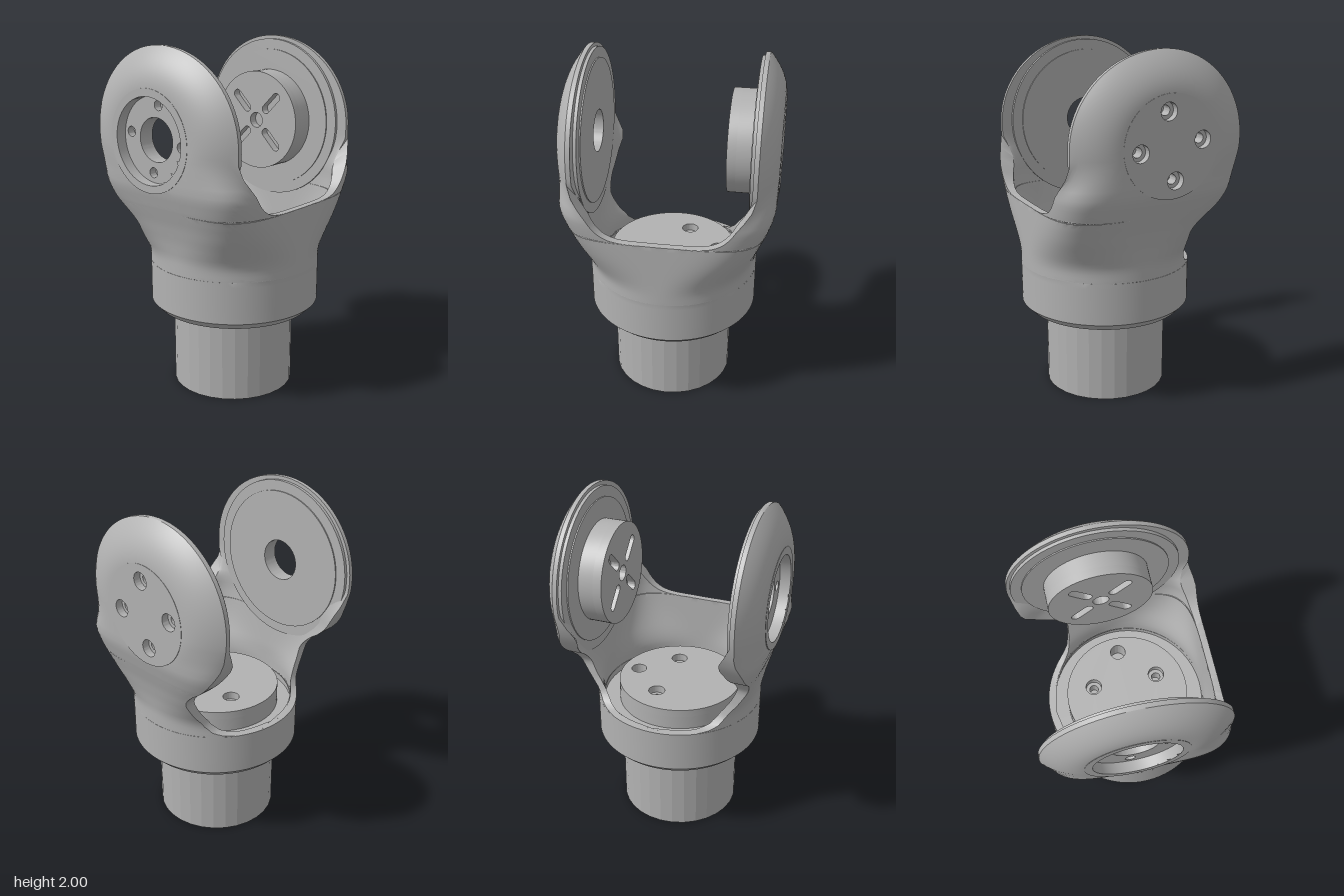
import * as THREE from 'three';
import { toCreasedNormals } from 'three/addons/utils/BufferGeometryUtils.js';

const CY = 1.51, CZ = -0.045, R = 0.49; // pivot centre and arm disc radius
const ZC = 0.045;                       // collar axis
const BOLTS = [[0.02, 0.185], [0.18, -0.02], [-0.185, 0.025], [-0.025, -0.18]];
const { lerp, smoothstep } = THREE.MathUtils;

// piecewise linear lookup
function table(pts, y) {
  if (y <= pts[0][0]) return pts[0][1];
  for (let i = 1; i < pts.length; i++) {
    const [a, b] = [pts[i - 1], pts[i]];
    if (y <= b[0]) return lerp(a[1], b[1], (y - a[0]) / (b[0] - a[0]));
  }
  return pts[pts.length - 1][1];
}

const BACK = [[0.76, -0.45], [0.761, -0.38], [0.77, -0.33], [0.79, -0.29], [0.83, -0.26], [0.9, -0.24],
  [1.0, -0.232], [1.04, -0.25], [1.1, -0.31], [1.13, -0.355], [1.17, -0.398]];
const arc = y => Math.sqrt(Math.max(0, 1 - ((y - CY) / R) ** 2));
const backZ = y => (y < 1.17 ? table(BACK, y) : CZ - R * arc(y));
const frontZ = y => (y < CY ? 0.485 : CZ + 0.53 * arc(y));
const openX = y => (y <= 1.135 ? 0 : 0.46 * Math.min(1, (y - 1.135) / 0.3) ** (1 / 6));

const OUT_A = [[0.48, 0.45], [0.52, 0.4875], [0.85, 0.4875], [0.95, 0.505], [1.05, 0.53], [1.15, 0.563], [1.25, 0.592], [1.4, 0.595]];
const OUT_F = [[0.48, 0.45], [0.52, 0.49], [1.14, 0.49], [1.4, 0.51]];
const OUT_B = [[0.48, 0.45], [0.52, 0.4875], [0.85, 0.4875], [1.05, 0.52], [1.2, 0.57], [1.5, 0.64]];
const IN_A = [[0.48, 0.45], [0.9, 0.45], [1.2, 0.472]];
const IN_B = [[0.48, 0.45], [0.85, 0.45], [1.05, 0.5], [1.2, 0.56], [1.5, 0.64]];

// smallest angle in [lo, hi] at which the rising function f passes 0
function solve(f, lo, hi) {
  for (let i = 0; i < 40; i++) {
    const m = (lo + hi) / 2;
    if (f(m) < 0) lo = m; else hi = m;
  }
  return (lo + hi) / 2;
}

// one side of the wall at height y: n+1 points [x, z] from front edge to back edge
function wallLine(y, n, outer) {
  const a = table(outer ? OUT_A : IN_A, y);
  const bf = outer ? table(OUT_F, y) : 0.45, bb = table(outer ? OUT_B : IN_B, y);
  const e = lerp(2, 5, smoothstep(y, 0.8, 1.25));
  const at = p => {
    const s = Math.sin(p), c = Math.cos(p);
    const r = ((Math.abs(s) / a) ** e + (Math.abs(c) / (c > 0 ? bf : bb)) ** e) ** (-1 / e);
    return [r * s, ZC + r * c];
  };
  const ox = Math.min(openX(y), 0.95 * a), zb = backZ(y), zf = frontZ(y);
  const p0 = ox > 0 ? solve(p => at(p)[0] - ox, 0, 1.4) : 0;
  const p1 = y < 0.76 ? Math.PI : solve(p => zb - at(p)[1], 1.4, Math.PI);
  const w = smoothstep(y, 1.25, 1.45);
  return Array.from({ length: n + 1 }, (_, i) => {
    const low = at(lerp(p0, p1, i / n)), z = lerp(zf, zb, i / n);
    const q = Math.min(1, Math.hypot((z - CZ) / (z > CZ ? 0.53 : R), (y - CY) / R));
    const x = outer ? 0.595 - 0.1 * Math.max(0, (q - 0.55) / 0.45) ** 2 : 0.47;
    return [lerp(low[0], x, w), lerp(low[1], z, w)];
  });
}

// collar, front wall and both arms as one shell
function yokeGeometry() {
  const n = 56, ys = [0.48, 0.52, 0.6, 0.68, 0.73, 0.76, 0.7603, 0.7606, 0.761, 0.763, 0.766, 0.77, 0.78, 0.79, 0.81];
  for (let y = 0.83; y < 1.12; y += 0.025) ys.push(y);
  ys.push(1.134);
  for (let i = 5; i <= 23; i++) ys.push(1.135 + 0.3 * (i / 23) ** 6);
  for (let i = 1; i <= 28; i++) ys.push(CY + R * Math.sin(lerp(-0.1537, Math.PI / 2, i / 28)));
  const loops = ys.map(y => [...wallLine(y, n, true), ...wallLine(y, n, false).reverse()]
    .map(([x, z]) => [x, y, z]));
  const pos = [], m = 2 * n + 2;
  for (const s of [1, -1]) {
    const tri = (a, b, c) => (s > 0 ? [a, b, c] : [a, c, b]).forEach(p => pos.push(s * p[0], p[1], p[2]));
    for (let i = 0; i + 1 < loops.length; i++) for (let j = 0; j < m; j++) {
      const k = (j + 1) % m, a = loops[i][j], b = loops[i][k], c = loops[i + 1][k], d = loops[i + 1][j];
      if (k === 0 && ys[i + 1] < 1.135) continue; // wall is continuous at the front
      const my = (a[1] + c[1]) / 2, mz = (a[2] + b[2] + c[2] + d[2]) / 4;
      if (Math.hypot(my - CY, mz - CZ) < 0.25) continue; // opening for the pivot plates
      tri(a, b, c);
      tri(a, c, d);
    }
  }
  const g = new THREE.BufferGeometry();
  g.setAttribute('position', new THREE.Float32BufferAttribute(pos, 3));
  return toCreasedNormals(g, 0.6);
}

function disc(r, holes) {
  const shape = new THREE.Shape().absarc(0, 0, r, 0, Math.PI * 2);
  shape.holes = holes.map(h => (h instanceof THREE.Path ? h : new THREE.Path().absarc(h[0], h[1], h[2], 0, Math.PI * 2, true)));
  return shape;
}
const extrude = (shape, depth) => toCreasedNormals(
  new THREE.ExtrudeGeometry(shape, { depth, bevelEnabled: false, curveSegments: 36 }), 0.5);

// rounded slot running outwards along angle t
function slot(t, r0, r1, w) {
  const c = Math.cos(t), s = Math.sin(t);
  const p = new THREE.Path();
  p.absarc(r1 * c, r1 * s, w, t - Math.PI / 2, t + Math.PI / 2, false);
  p.absarc(r0 * c, r0 * s, w, t + Math.PI / 2, t + Math.PI * 1.5, false);
  p.closePath();
  return p;
}

export function createModel() {
  const group = new THREE.Group();
  const grey = new THREE.MeshStandardMaterial({ color: 0xb2b2b2, side: THREE.DoubleSide });
  grey.name = 'grey';
  const add = (name, geometry) => {
    const mesh = new THREE.Mesh(geometry, grey);
    mesh.name = name;
    group.add(mesh);
    return mesh;
  };
  // disc across the pivot axis, from |x| = x0 to x1 on one side
  const pivot = (name, side, r, holes, x0, x1) => {
    const g = extrude(disc(r, holes), x1 - x0);
    g.rotateY(Math.PI / 2).translate(side > 0 ? x0 : -x1, CY, CZ);
    add(name, g);
  };
  // disc lying flat, from y0 to y1
  const flat = (name, r, holes, y0, y1) => {
    const g = extrude(disc(r, holes), y1 - y0);
    g.rotateX(-Math.PI / 2).translate(-0.005, y0, 0.035);
    add(name, g);
  };

  add('yoke', yokeGeometry());
  const floor = add('collarFloor', new THREE.CylinderGeometry(0.452, 0.449, 0.239, 64));
  floor.position.set(0, 0.6005, ZC);

  // hollow base tube with an inner step
  const base = [[0, 0.18], [0.235, 0.18], [0.235, 0.08], [0.285, 0.08], [0.285, 0.015], [0.3, 0], [0.35, 0], [0.35, 0.5]]
    .map(p => new THREE.Vector2(...p));
  const tube = add('baseTube', toCreasedNormals(new THREE.LatheGeometry(base, 30), 0.1));
  tube.position.set(-0.005, 0, 0.04);

  // plug inside the collar with counterbored holes
  const screws = [[0.075, 0.19], [0.075, -0.195]], port = [0.265, 0, 0.045];
  flat('plugTop', 0.36, [...screws.map(p => [...p, 0.047]), port], 0.8, 0.845);
  flat('plugBody', 0.36, [...screws.map(p => [...p, 0.026]), port], 0.72, 0.8);

  // pads on the inner faces of the arms
  for (const side of [1, -1]) {
    const bore = side < 0 ? [[0, 0, 0.12]] : [];
    pivot('armPad', side, 0.47, bore, 0.452, 0.49);
    pivot('armPadFace', side, 0.41, bore, 0.445, 0.452);
  }

  // left arm: bolted cover and slotted hub
  const bolts = r => BOLTS.map(([z, y]) => [-z, y, r]);
  pivot('boltCover', 1, 0.278, bolts(0.048), 0.555, 0.5965);
  pivot('boltSeat', 1, 0.278, bolts(0.027), 0.49, 0.555);
  const slots = [1, 3, 5, 7].map(k => slot(k * Math.PI / 4, 0.1, 0.205, 0.026));
  pivot('hubFace', 1, 0.29, [[0, 0, 0.045], ...slots], 0.31, 0.36);
  pivot('hubBody', 1, 0.29, [], 0.36, 0.45);

  // right arm: recessed ring with a through bore
  pivot('recessRim', -1, 0.278, [[0, 0, 0.235]], 0.535, 0.5965);
  pivot('recessFloor', -1, 0.278, [[0, 0, 0.12], ...BOLTS.map(([z, y]) => [-z, y, 0.028])], 0.49, 0.535);
  return group;
}
